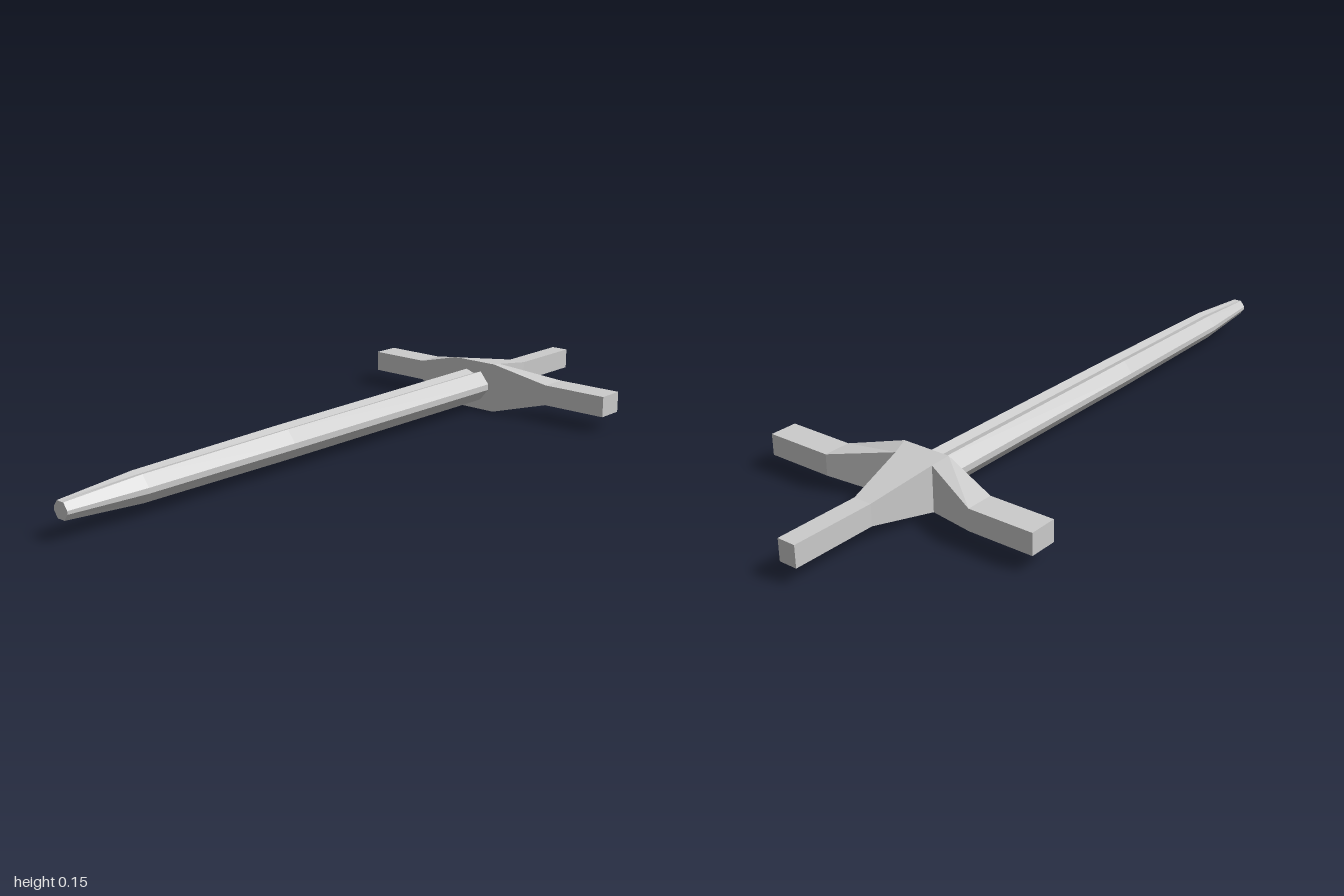
import * as THREE from 'three';

const CY = 0.0735; // height of the sword's long axis

// Skin a list of equal-length rings (counter-clockwise seen from the loft's end), capped at both ends.
function loft(name, rings, material) {
  const pos = [];
  const tri = (...pts) => pts.forEach(([x, y, z]) => pos.push(x, y + CY, z));
  const n = rings[0].length;
  for (let r = 0; r < rings.length - 1; r++) {
    const a = rings[r], b = rings[r + 1];
    for (let i = 0; i < n; i++) {
      const j = (i + 1) % n;
      tri(a[i], a[j], b[j]);
      tri(a[i], b[j], b[i]);
    }
  }
  // Fan caps around the ring centre
  const cap = (ring, flip) => {
    const c = [0, 1, 2].map(k => ring.reduce((s, p) => s + p[k], 0) / n);
    ring.forEach((p, i) => {
      const q = ring[(i + 1) % n];
      flip ? tri(c, q, p) : tri(c, p, q);
    });
  };
  cap(rings[0], true);
  cap(rings[rings.length - 1], false);
  const geo = new THREE.BufferGeometry();
  geo.setAttribute('position', new THREE.Float32BufferAttribute(pos, 3));
  geo.computeVertexNormals();
  const mesh = new THREE.Mesh(geo, material);
  mesh.name = name;
  return mesh;
}

export function createModel() {
  const model = new THREE.Group();
  model.name = 'sword';
  const mat = new THREE.MeshStandardMaterial({ color: 0xcccccc, flatShading: true });

  // Crossguard: [back x, back z, back half height, front x, front z, front half height]
  const guard = [
    [-0.4275, -0.64, 0.03, -0.4275, -0.56, 0.03],
    [-0.24, -0.64, 0.03, -0.24, -0.56, 0.03],
    [-0.07, -0.575, 0.064, -0.08, -0.525, 0.0735],
    [0.05, -0.575, 0.064, 0.065, -0.525, 0.0735],
    [0.23, -0.64, 0.03, 0.23, -0.56, 0.03],
    [0.4275, -0.64, 0.03, 0.4275, -0.56, 0.03],
  ].map(([bx, bz, bh, fx, fz, fh]) => [[bx, -bh, bz], [bx, bh, bz], [fx, fh, fz], [fx, -fh, fz]]);
  model.add(loft('crossguard', guard, mat));

  // Grip: [z, left edge, right edge, half height], flaring into the guard
  const grip = [
    [-1, -0.043, 0.01, 0.03],
    [-0.76, -0.043, 0.01, 0.03],
    [-0.575, -0.07, 0.05, 0.064],
  ].map(([z, x0, x1, h]) => [[x0, -h, z], [x1, -h, z], [x1, h, z], [x0, h, z]]);
  model.add(loft('grip', grip, mat));

  // Blade: [z, centre x, half width, half height, fuller half height], grooved above and below
  const blade = [
    [-0.54, -0.01, 0.056, 0.044, 0.035],
    [0.3, -0.008, 0.05, 0.041, 0.033],
    [0.78, -0.006, 0.043, 0.036, 0.031],
    [1, -0.005, 0.025, 0.022, 0.0215],
  ].map(([z, cx, w, h, f]) => {
    const half = [[w, -0.2 * h], [w, 0.2 * h], [0.48 * w, h], [0, f], [-0.48 * w, h]];
    return [...half, ...half.map(([x, y]) => [-x, -y])].map(([x, y]) => [cx + x, y, z]);
  });
  model.add(loft('blade', blade, mat));

  return model;
}
